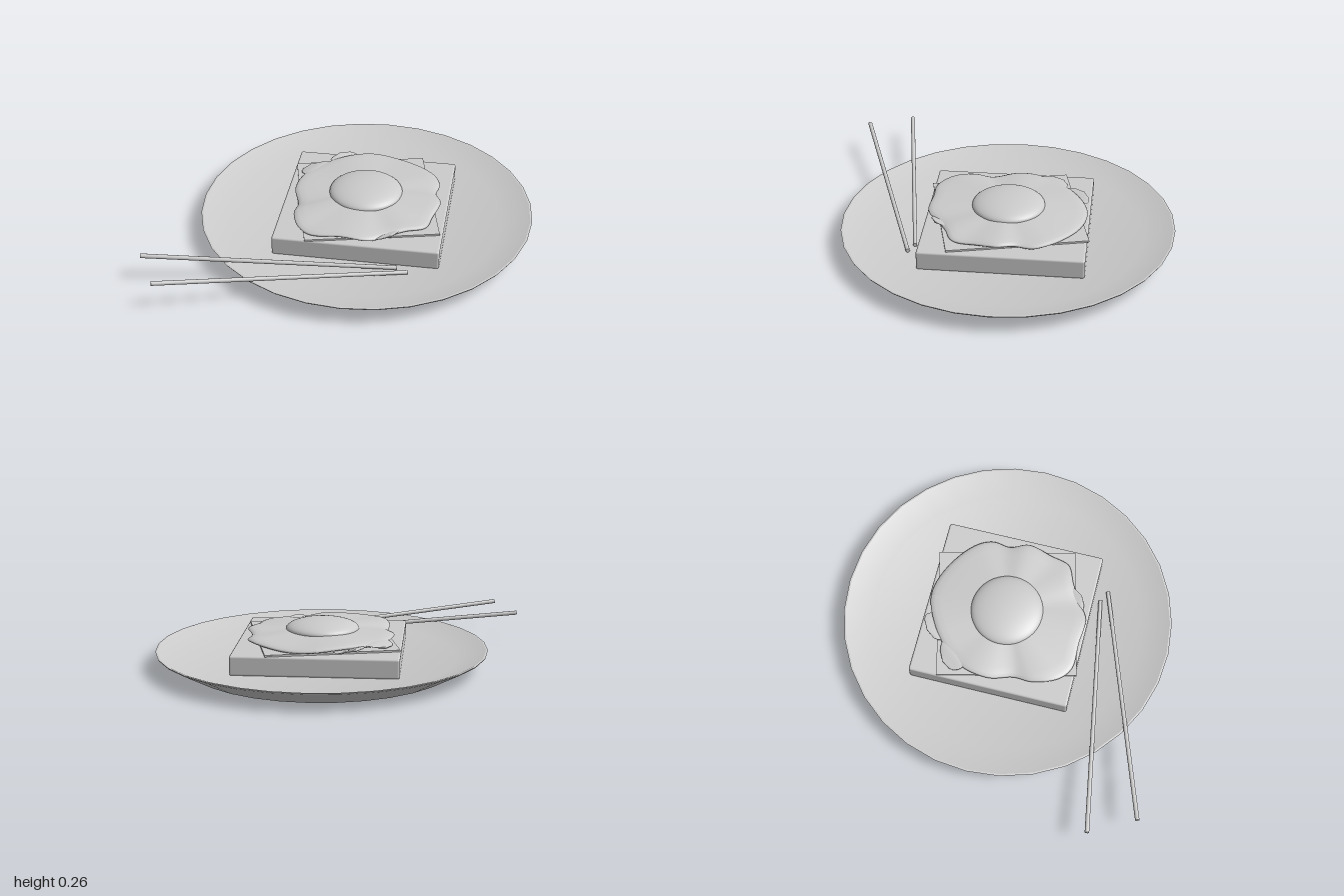
import * as THREE from 'three';
import { RoundedBoxGeometry } from 'three/addons/geometries/RoundedBoxGeometry.js';
import { toCreasedNormals } from 'three/addons/utils/BufferGeometryUtils.js';

const V2 = (x, y) => new THREE.Vector2(x, y);
const V3 = (x, y, z) => new THREE.Vector3(x, y, z);

// Grid surface from rows of points; row(u, v) returns a Vector3
function surface(nu, nv, point) {
  const pos = [], idx = [];
  for (let i = 0; i <= nu; i++)
    for (let j = 0; j <= nv; j++) pos.push(...point(i / nu, j / nv).toArray());
  for (let i = 0; i < nu; i++)
    for (let j = 0; j < nv; j++) {
      const a = i * (nv + 1) + j, b = a + nv + 1;
      idx.push(a, a + 1, b, b, a + 1, b + 1);
    }
  const g = new THREE.BufferGeometry();
  g.setAttribute('position', new THREE.Float32BufferAttribute(pos, 3));
  g.setIndex(idx);
  g.computeVertexNormals();
  return g;
}

export function createModel() {
  const model = new THREE.Group();
  model.name = 'eggToastOnPlate';
  const grey = new THREE.MeshStandardMaterial({ color: 0xcccccc });
  const thin = new THREE.MeshStandardMaterial({ color: 0xcccccc, side: THREE.DoubleSide });
  const add = (name, geo, mat = grey, x = 0, y = 0, z = 0) => {
    const m = new THREE.Mesh(geo, mat);
    m.name = name;
    m.position.set(x, y, z);
    model.add(m);
    return m;
  };

  // Plate: flat foot, sloping wall and sunken floor
  const profile = [V2(0, 0), V2(0.735, 0), V2(0.905, 0.092), V2(0.91, 0.1), V2(0.9, 0.101), V2(0.745, 0.05), V2(0, 0.05)];
  add('plate', toCreasedNormals(new THREE.LatheGeometry(profile, 32), 0.35), grey, 0.09, 0, -0.022);

  // Bread slice
  add('bread', new RoundedBoxGeometry(0.895, 0.108, 0.885, 2, 0.012), grey, 0.09, 0.102, -0.025);

  // Thin cheese slice, turned on the bread
  const cheese = add('cheeseSlice', new THREE.BoxGeometry(0.72, 0.01, 0.76), grey, 0.085, 0.162, -0.025);
  cheese.rotation.y = 0.235;

  // Rippled bacon rashers lying side by side along the diagonal
  const start = V3(-0.2, 0, -0.36), end = V3(0.35, 0, 0.29);
  const along = end.clone().sub(start).normalize();
  const across = V3(along.z, 0, -along.x);
  for (const side of [-1, 1]) {
    const geo = surface(60, 24, (u, v) => {
      // closed loop around a thin, wavy strip
      const a = v * Math.PI * 2;
      const taper = Math.pow(Math.max(0, 1 - Math.pow(Math.abs(2 * u - 1), 14)), 0.5);
      const w = (0.095 + 0.008 * Math.sin(u * 31 + side)) * taper * Math.cos(a);
      const p = start.clone().lerp(end, u)
        .addScaledVector(across, side * 0.09 + 0.01 * Math.sin(u * 19 + side) + w);
      p.y = 0.181 + 0.007 * Math.sin(u * 34 + side * 1.3 + w * 12) + 0.006 * Math.sin(a);
      return p;
    });
    add(side < 0 ? 'baconFront' : 'baconBack', geo, thin);
  }

  // Egg white: wavy outline with a rounded, drooping rim
  const outline = new THREE.CatmullRomCurve3([
    [0.08, -0.455], [0.25, -0.42], [0.42, -0.3], [0.475, -0.2], [0.465, -0.1], [0.5, 0], [0.47, 0.13],
    [0.44, 0.24], [0.34, 0.29], [0.25, 0.34], [0.15, 0.405], [0, 0.4], [-0.15, 0.395], [-0.23, 0.33],
    [-0.275, 0.2], [-0.27, 0.1], [-0.31, -0.03], [-0.29, -0.17], [-0.23, -0.27], [-0.1, -0.38],
  ].map(([x, z]) => V3(x, 0, z)), true);
  // radial section: fraction of the outline and height, from top centre round to underside
  const section = [[0, 0.214], [0.3, 0.213], [0.5, 0.209], [0.7, 0.203], [0.85, 0.199], [0.94, 0.195],
    [0.985, 0.188], [1, 0.181], [0.985, 0.175], [0.94, 0.173], [0.7, 0.174], [0, 0.174]];
  const n = section.length - 1;
  add('eggWhite', surface(n, 120, (u, v) => {
    const [f, h] = section[Math.round(u * n)];
    const p = V3(0.09, 0, -0.025).lerp(outline.getPoint(1 - v), f);
    p.y = h + 0.006 * f * f * Math.sin(v * Math.PI * 14) + 0.004 * f * Math.sin(v * Math.PI * 6);
    return p;
  }), thin);

  // Yolk
  const yolk = add('yolk', new THREE.SphereGeometry(1, 40, 24), grey, 0.085, 0.209, -0.025);
  yolk.scale.set(0.2, 0.054, 0.198);

  // Chopsticks leaning on the rim
  const sticks = [[V3(-0.998, 0.15, 0.677), V3(0.32, 0.063, 0.455)], [V3(-0.873, 0.163, 0.918), V3(0.38, 0.063, 0.485)]];
  sticks.forEach(([a, b], i) => {
    const mid = a.clone().add(b).multiplyScalar(0.5);
    const stick = add('chopstick' + (i + 1),
      new THREE.CylinderGeometry(0.011, 0.012, a.distanceTo(b), 12), grey, mid.x, mid.y, mid.z);
    stick.quaternion.setFromUnitVectors(V3(0, 1, 0), b.clone().sub(a).normalize());
  });
  return model;
}
